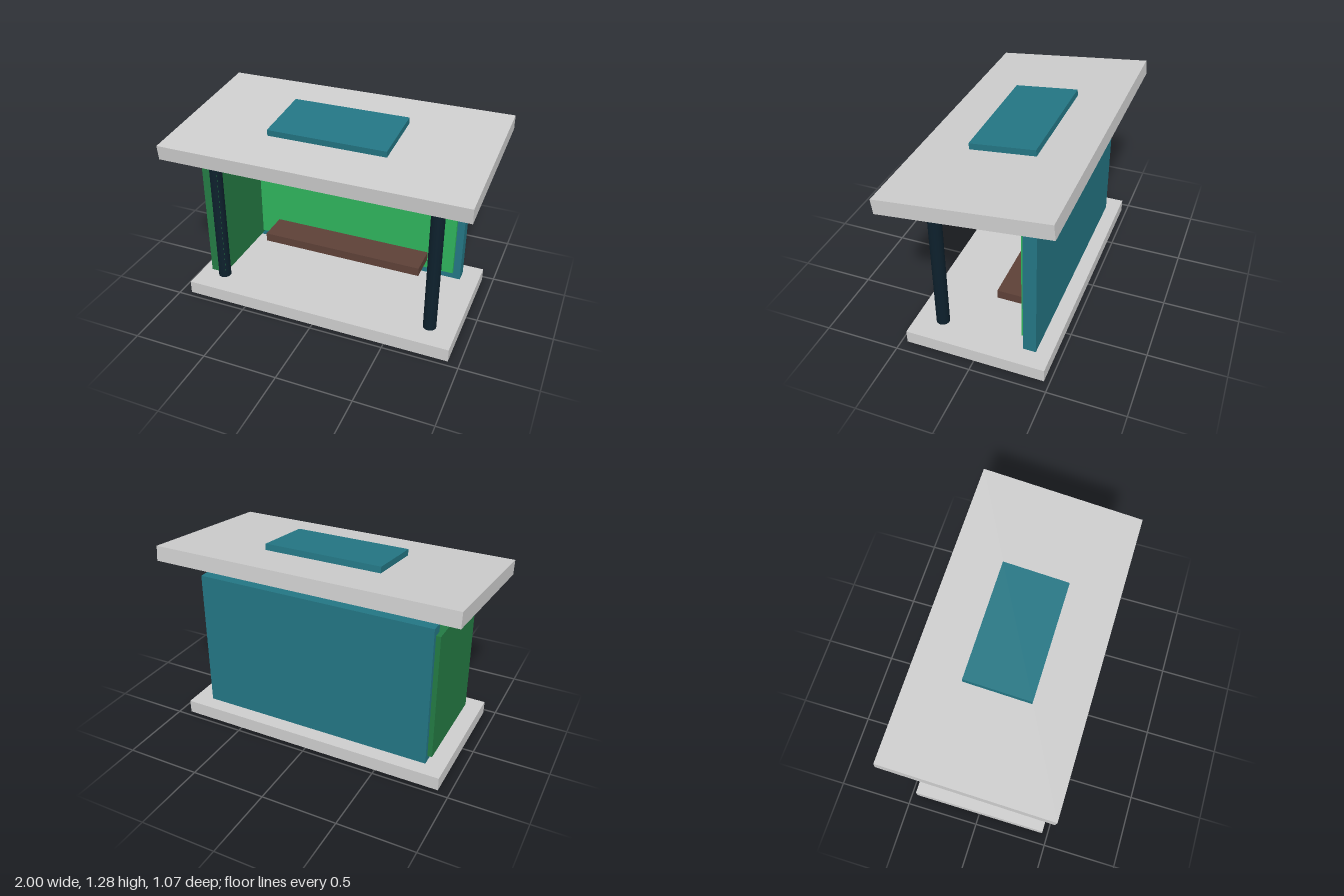
import * as THREE from 'three';

export function createModel() {
  const model = new THREE.Group();
  model.name = 'busShelter';

  const mat = (name, color) => {
    const m = new THREE.MeshStandardMaterial({ color });
    m.name = name;
    return m;
  };
  const concrete = mat('light grey', 0xcccccc);
  const teal = mat('teal', 0x237583);
  const green = mat('bright green', 0x2eb25b);
  const darkGreen = mat('dark green', 0x237a43);
  const navy = mat('dark navy', 0x0d202c);
  const brown = mat('brown', 0x5d4037);
  const ochre = mat('ochre', 0xc8962e);

  // Box given by its extents on each axis
  const box = (name, material, [x0, x1], [y0, y1], [z0, z1]) => {
    const mesh = new THREE.Mesh(new THREE.BoxGeometry(x1 - x0, y1 - y0, z1 - z0), material);
    mesh.position.set((x0 + x1) / 2, (y0 + y1) / 2, (z0 + z1) / 2);
    mesh.name = name;
    model.add(mesh);
    return mesh;
  };

  // Floor, back wall and its inset panel
  box('floorSlab', concrete, [-0.925, 0.925], [0, 0.09], [-0.463, 0.463]);
  box('backWall', teal, [-0.8, 0.8], [0.09, 1.04], [-0.365, -0.28]);
  box('backPanel', green, [-0.75, 0.75], [0.147, 0.968], [-0.36, -0.252]);

  // Side panel, on one side only
  box('sidePanel', darkGreen, [-0.83, -0.722], [0.13, 0.983], [-0.335, 0.32]);

  // Bench and front beam under the roof
  box('bench', brown, [-0.57, 0.57], [0.23, 0.29], [-0.23, -0.02]);
  box('frontBeam', ochre, [-0.8, 0.8], [1.075, 1.13], [0.2, 0.305]);

  // Front posts
  for (const side of [-1, 1]) {
    const post = new THREE.Mesh(new THREE.CylinderGeometry(0.043, 0.043, 1.01, 24), navy);
    post.position.set(side * 0.75, 0.595, 0.287);
    post.name = side > 0 ? 'leftPost' : 'rightPost';
    model.add(post);
  }

  // Sloping roof with a raised plate on top
  const tilt = THREE.MathUtils.degToRad(6);
  box('roof', concrete, [-1, 1], [1.115, 1.213], [-0.533, 0.533]).rotation.x = tilt;
  box('roofPlate', teal, [-0.395, 0.395], [1.217, 1.258], [-0.213, 0.213]).rotation.x = tilt;

  return model;
}
